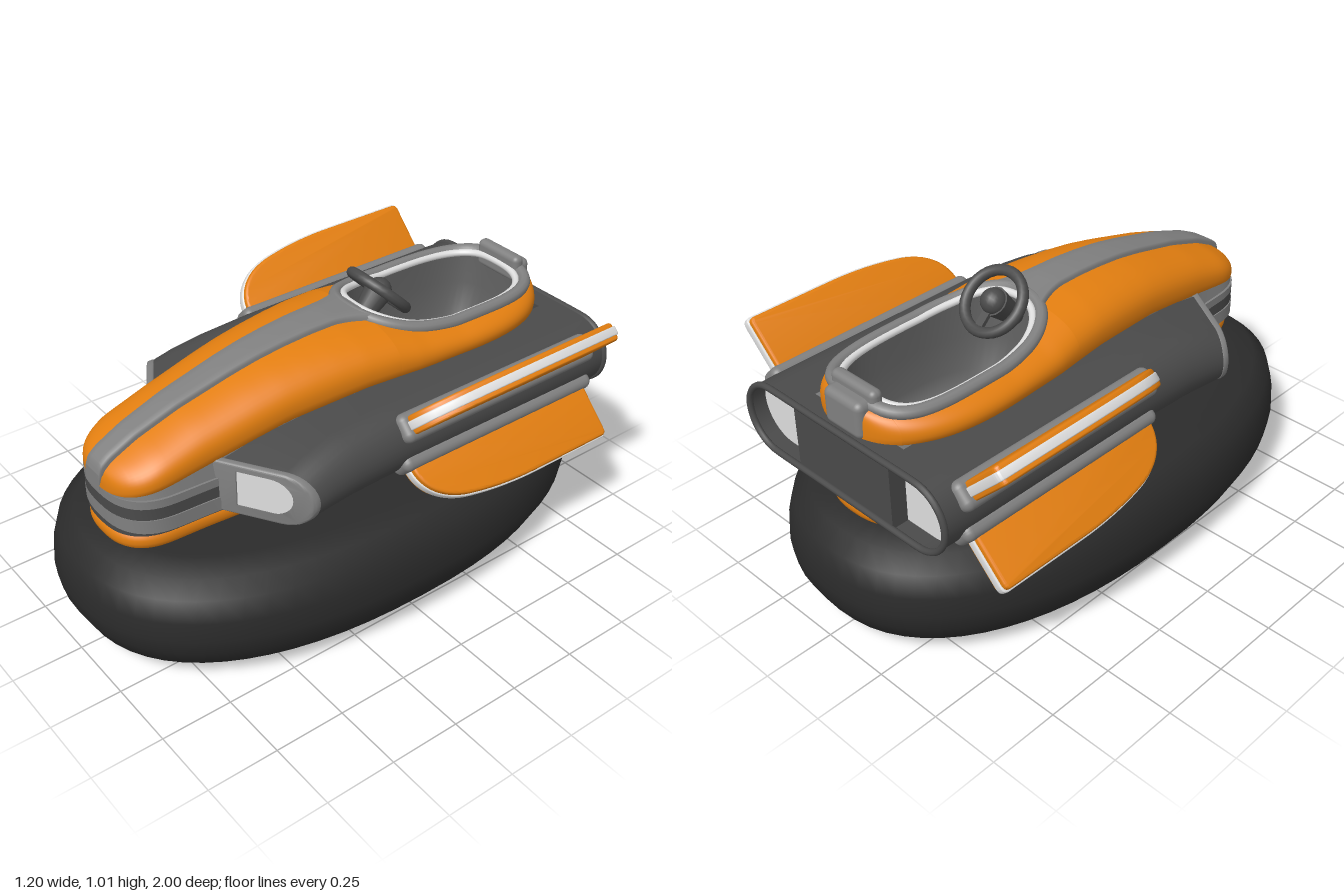
import * as THREE from 'three';
import { RoundedBoxGeometry } from 'three/addons/geometries/RoundedBoxGeometry.js';
import { toCreasedNormals } from 'three/addons/utils/BufferGeometryUtils.js';

const paint = (name, color) => new THREE.MeshStandardMaterial({ name, color, side: THREE.DoubleSide });
const rubber = paint('black rubber', 0x2b2b2b);
const dark = paint('dark grey', 0x4a4a4a);
const interior = paint('interior grey', 0x606060);
const grey = paint('mid grey', 0x808080);
const light = paint('light grey', 0xdedede);
const orange = paint('orange', 0xe47f10);

function add(parent, name, geometry, material, x = 0, y = 0, z = 0) {
  const m = new THREE.Mesh(geometry, material);
  m.name = name;
  m.position.set(x, y, z);
  parent.add(m);
  return m;
}

// Skin between equal-length cross-sections
function loft(sections, closed = false) {
  const n = sections[0].length, idx = [];
  for (let i = 0; i < sections.length - 1; i++)
    for (let j = 0; j < (closed ? n : n - 1); j++) {
      const a = i * n + j, b = i * n + (j + 1) % n;
      idx.push(a, b, a + n, b, b + n, a + n);
    }
  const g = new THREE.BufferGeometry();
  g.setAttribute('position', new THREE.Float32BufferAttribute(sections.flat(2), 3));
  g.setIndex(idx);
  g.computeVertexNormals();
  return g;
}

// Linear lookup in a table of [z, value], z falling
function at(table, z) {
  for (let i = 1; i < table.length; i++) {
    const [z0, v0] = table[i - 1], [z1, v1] = table[i];
    if (z >= z1) return v0 + (v1 - v0) * THREE.MathUtils.clamp((z0 - z) / (z0 - z1), 0, 1);
  }
  return table[table.length - 1][1];
}
const W = [[0.88, 0.187], [0.6, 0.2], [0.3, 0.225], [0, 0.255], [-0.2, 0.275], [-0.45, 0.285]];
const TOP = [[0.88, 0.66], [0.87, 0.69], [0.84, 0.715], [0.75, 0.76], [0.6, 0.812], [0.4, 0.862], [0.3, 0.882], [0.2, 0.895],
  [0.1, 0.903], [0, 0.905], [-0.12, 0.898], [-0.25, 0.87], [-0.4, 0.855], [-0.87, 0.85]];
const LOW = [[0.88, 0.62], [0.6, 0.665], [0.3, 0.72], [0, 0.742], [-0.87, 0.74]];

// Superellipse falloff from 1 at t = 0 to 0 at t = 1
const round = (t, n) => Math.pow(1 - Math.pow(THREE.MathUtils.clamp(t, 0, 1), n), 1 / n);
const wide = z => Math.max(0.01, at(W, z) * round((z - 0.7) / 0.18, 2.6) * round((-0.45 - z) / 0.417, 2.5));
const low = z => at(LOW, z);
const shoulder = z => low(z) + 0.25 * (at(TOP, z) - low(z));
const hoodY = (x, z, w = wide(z)) => shoulder(z) + (at(TOP, z) - shoulder(z)) * round(Math.abs(x) / w, 2.5);

// Cockpit opening, squarer at the back
const CZ = -0.46, CR = 0.34, CX = 0.2;
const squareness = side => side < 0 ? 3.4 : 2.4;
const openX = z => CX * round(Math.abs(z - CZ) / CR, squareness(z - CZ));
function openRing(k, n = 48) {
  return Array.from({ length: n }, (_, i) => {
    const a = i / n * Math.PI * 2, c = Math.cos(a), s = Math.sin(a), e = 2 / squareness(s);
    const x = Math.sign(c) * Math.pow(Math.abs(c), e) * CX, z = CZ + Math.sign(s) * Math.pow(Math.abs(s), e) * CR;
    return [x * k, hoodY(x, z), CZ + (z - CZ) * k];
  });
}
function ringTube(pts, r) {
  const curve = new THREE.CatmullRomCurve3(pts.map(p => new THREE.Vector3(...p)), true);
  return new THREE.TubeGeometry(curve, 120, r, 10, true);
}

const spread = (a, b, n) => Array.from({ length: n + 1 }, (_, i) => (a + b) / 2 + (a - b) / 2 * Math.cos(i / n * Math.PI));
const hoodZ = [...spread(0.88, CZ + CR, 50), ...spread(CZ + CR, CZ - CR, 50).slice(1), ...spread(CZ - CR, -0.867, 12).slice(1)];

function extrude(shape, depth, bevel = 0) {
  return new THREE.ExtrudeGeometry(shape, { depth: depth - 2 * bevel, bevelEnabled: bevel > 0, bevelSize: bevel,
    bevelOffset: -bevel, bevelThickness: bevel, bevelSegments: 3, curveSegments: 16 }).translate(0, 0, bevel);
}

// Horizontal slab following the hull plan
function slab(k, y0, y1, hole, bevel) {
  const zs = spread(0.88, -0.867, 60);
  const pts = [...zs.map(z => [wide(z) * k, z]), ...zs.slice().reverse().map(z => [-wide(z) * k, z])];
  const shape = new THREE.Shape(pts.map(p => new THREE.Vector2(...p)));
  if (hole) shape.holes.push(new THREE.Path(openRing(0.97).map(p => new THREE.Vector2(p[0], p[2]))));
  return toCreasedNormals(extrude(shape, y1 - y0, bevel).rotateX(Math.PI / 2).translate(0, y1, 0), 0.6);
}

// D-shaped outline, flat inside and round outside
function dPoints(x0, x1, y0, y1) {
  const r = (y1 - y0) / 2, pts = [[x0, y1]];
  for (let i = 0; i <= 16; i++) {
    const a = Math.PI / 2 - i / 16 * Math.PI;
    pts.push([x1 - r + r * Math.cos(a), (y0 + y1) / 2 + r * Math.sin(a)]);
  }
  return [...pts, [x0, y0]];
}
const dShape = (...a) => new THREE.Shape(dPoints(...a).map(p => new THREE.Vector2(...p)));
function shear(g, z0, k) {
  const p = g.attributes.position;
  for (let i = 0; i < p.count; i++) p.setZ(i, p.getZ(i) + z0 - k * (p.getX(i) - 0.2));
  return toCreasedNormals(g, 0.6);
}

// One wing: light core between two orange skins, on a rounded root bar
function makeWing(name) {
  const wing = new THREE.Group();
  wing.name = name;
  const plate = (grow, t, bevel) => {
    const s = new THREE.Shape();
    s.moveTo(grow, -0.02);
    s.lineTo(grow, 0.04);
    s.bezierCurveTo(-0.01 + grow, 0.12, -0.08, 0.165 + grow, -0.16, 0.183 + grow);
    s.bezierCurveTo(-0.24, 0.2 + grow, -0.34, 0.212 + grow, -0.45, 0.212 + grow);
    s.lineTo(-0.765 - grow, 0.212 + grow);
    s.quadraticCurveTo(-0.785 - grow, 0.212 + grow, -0.785 - grow, 0.19);
    s.lineTo(-0.785 - grow, -0.02);
    return toCreasedNormals(extrude(s, t, bevel).translate(0, 0, -t / 2).rotateY(-Math.PI / 2), 0.6);
  };
  add(wing, 'wingEdge', plate(0.006, 0.03, 0.004), light);
  for (const s of [-1, 1]) add(wing, 'wingSkin', plate(0, 0.028, 0.011), orange, s * 0.018);
  add(wing, 'wingRoot', new RoundedBoxGeometry(0.1, 0.06, 0.85, 4, 0.028), grey, 0, 0.008, -0.395);
  return wing;
}

// Everything on the +x side that is mirrored
function makeSide(name) {
  const side = new THREE.Group();
  side.name = name;
  const sections = [[0.55, 0.62, 0.475, 0.685], [0.42, 0.4, 0.473, 0.71], [0.25, 0.15, 0.468, 0.733],
    [0, 0, 0.465, 0.75], [-0.78, 0, 0.465, 0.75], [-0.89, 0, 0.46, 0.75]];
  add(side, 'sidePod', loft(sections.map(([z, k, x1, y1]) =>
    dPoints(0.205, x1, 0.5, y1).map(([x, y]) => [x, y, z - k * (x - 0.2)]))), dark);
  const frame = dShape(0.19, 0.478, 0.497, 0.688);
  frame.holes.push(dShape(0.25, 0.428, 0.526, 0.672));
  add(side, 'intakeFrame', shear(extrude(frame, 0.032, 0.008), 0.54, 0.62), grey);
  add(side, 'intakePanel', shear(new THREE.ShapeGeometry(dShape(0.245, 0.433, 0.522, 0.676)), 0.558, 0.62), light);
  // rear outlet
  add(side, 'outletPanel', new THREE.ShapeGeometry(dShape(0.2, 0.462, 0.503, 0.747)), light, 0, 0, -0.825);
  for (const up of [1, 0]) {
    const wing = makeWing(up ? 'upperWing' : 'lowerWing');
    wing.position.set(0.43, up ? 0.69 : 0.56, 0);
    wing.rotation.z = up ? -Math.PI / 4 : -Math.PI * 3 / 4;
    side.add(wing);
  }
  // half hood, running from the cockpit opening to the lower lip
  add(side, 'hood', loft(hoodZ.map(z => {
    const w = wide(z), x0 = Math.min(openX(z), w), row = [];
    for (let i = 0; i <= 14; i++) {
      const x = x0 + (w - x0) * Math.sin(i / 14 * Math.PI / 2);
      row.push([x, hoodY(x, z), z]);
    }
    row.push([w * 0.985, low(z) + 0.1 * (at(TOP, z) - low(z)), z], [w * 0.92, low(z), z]);
    return row;
  })), orange);
  add(side, 'hullWall', loft(hoodZ.map(z => [[wide(z) * 1.01, 0.6, z], [wide(z) * 0.95, low(z) + 0.012, z]])), grey);
  return side;
}

export function createModel() {
  const model = new THREE.Group();
  model.name = 'hovercraft';

  // Inflated skirt, hollow underneath
  const skirt = [[0.6, 0.41], [0.2, 0.41], [0.17, 0.41], [0.08, 0.4], [0.025, 0.355], [0.005, 0.28], [0, 0.21], [0.01, 0.15],
    [0.045, 0.08], [0.1, 0.03], [0.17, 0.001], [0.18, 0], [0.19, 0.01], [0.195, 0.1], [0.2, 0.3], [0.22, 0.385],
    [0.24, 0.395], [0.6, 0.397]];
  const soft = v => Math.sign(v) * Math.pow(Math.abs(v), 2 / 2.3);
  add(model, 'skirt', loft(skirt.map(([d, y]) => Array.from({ length: 64 }, (_, i) => {
    const a = i / 64 * Math.PI * 2;
    return [(0.6 - d) * soft(Math.cos(a)), y, (1 - d) * soft(Math.sin(a))];
  })), true), rubber);

  // Hull layers
  add(model, 'belly', slab(0.92, 0.415, 0.485, false, 0.028), orange);
  add(model, 'bellyGap', slab(0.95, 0.48, 0.505, false), dark);
  add(model, 'lowerBand', slab(1.05, 0.5, 0.55, true), grey);
  add(model, 'bandStripe', slab(1.03, 0.55, 0.592, true), dark);
  add(model, 'upperBand', slab(1.03, 0.592, 0.622, true), grey);

  // Mirrored sides
  model.add(makeSide('leftSide'));
  const right = makeSide('rightSide');
  right.scale.x = -1;
  model.add(right);

  // Rear plate and its rim
  add(model, 'rearPlate', new THREE.BoxGeometry(0.44, 0.248, 0.075), dark, 0, 0.625, -0.8475);
  const half = dPoints(0.1, 0.458, 0.504, 0.746).map(([x, y]) => [x, y, -0.888]);
  add(model, 'rearRim', ringTube([...half, ...half.slice().reverse().map(([x, y, z]) => [-x, y, z])], 0.011), dark);

  // Raised centre stripe, flaring into the cockpit rim
  const stripe = hoodZ.filter(z => z >= CZ + CR - 0.001).map(z => {
    const flare = Math.max(0, 1 - (z + 0.12) / 0.14);
    const ws = 0.042 + 0.03 * (0.88 - z) + 0.035 * flare * flare, w = Math.max(wide(z), 0.16);
    return [-1, -1, -0.9, -0.45, 0, 0.45, 0.9, 1, 1].map((f, i) =>
      [f * ws, hoodY(f * ws, z, w) + (i % 8 === 0 ? -0.015 : Math.abs(f) === 1 ? 0.008 : 0.018), z + 0.01 * Math.max(0, z)]);
  });
  stripe.unshift(stripe[0].map(([x, , z]) => [x, 0.62, z + 0.002]));
  add(model, 'centreStripe', loft(stripe), grey);

  // Cockpit
  add(model, 'cockpitRim', ringTube(openRing(1.05), 0.022), grey);
  add(model, 'cockpitTrim', ringTube(openRing(0.96), 0.013), light);
  add(model, 'cockpitTub', loft([openRing(0.98), ...[[0.95, 0.72], [0.88, 0.6], [0.75, 0.56], [0, 0.56]].map(([k, y]) =>
    openRing(k).map(([x, , z]) => [x, y, z]))], true), interior);
  add(model, 'headrest', new RoundedBoxGeometry(0.2, 0.1, 0.045, 4, 0.02), grey, 0, 0.85, -0.805);
  add(model, 'rearStripe', new RoundedBoxGeometry(0.17, 0.13, 0.07, 4, 0.025), grey, 0, 0.805, -0.838);

  // Steering wheel, leaning forward at the top
  const wheel = new THREE.Group();
  wheel.name = 'steeringWheel';
  wheel.position.set(0, 0.92, -0.238);
  wheel.rotation.x = 0.8;
  add(wheel, 'wheelRing', new THREE.TorusGeometry(0.108, 0.019, 10, 32), dark);
  add(wheel, 'wheelHub', new THREE.SphereGeometry(0.044, 20, 12), dark);
  add(wheel, 'wheelSpoke', new THREE.BoxGeometry(0.03, 0.1, 0.014), dark, 0, -0.055, 0);
  const column = add(wheel, 'wheelColumn', new THREE.CylinderGeometry(0.03, 0.05, 0.14, 16), dark, 0, 0, 0.07);
  column.rotation.x = Math.PI / 2;
  model.add(wheel);

  return model;
}
